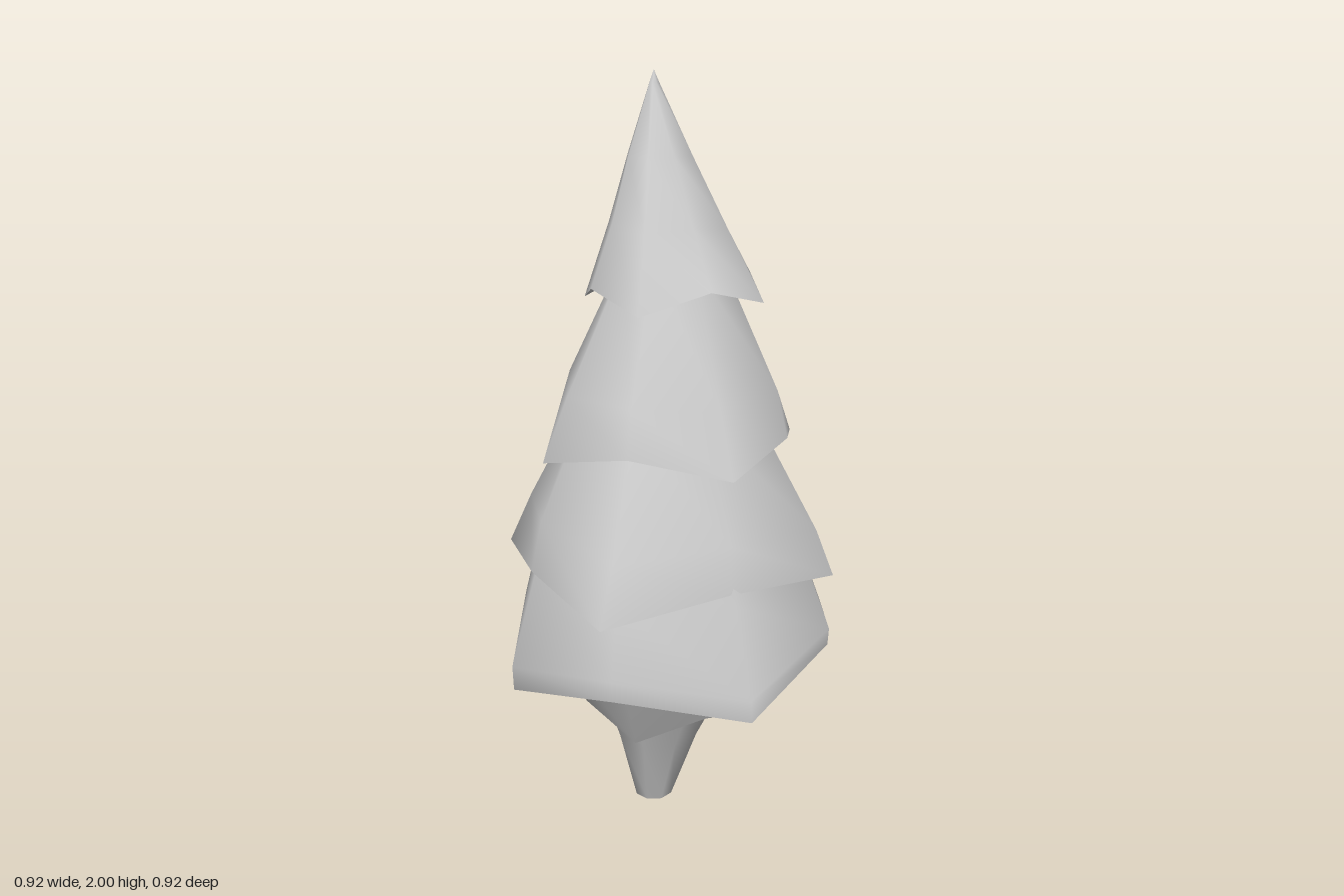
import * as THREE from 'three';

const SIDES = 8;
const material = new THREE.MeshStandardMaterial({ color: 0xcccccc, side: THREE.DoubleSide });

// Octagonal ring: y and radius differ between axis corners (A) and diagonal corners (D);
// cx, cz shift the centre, tx, tz tilt the ring.
function ring(yA, yD, rA, rD, cx = 0, cz = 0, tx = 0, tz = 0) {
  const points = [];
  for (let i = 0; i < SIDES; i++) {
    const a = (i / SIDES) * Math.PI * 2;
    const diagonal = i % 2 === 1;
    const r = diagonal ? rD : rA;
    const x = r * Math.cos(a), z = -r * Math.sin(a);
    points.push(new THREE.Vector3(cx + x, (diagonal ? yD : yA) + tx * x + tz * z, cz + z));
  }
  return points;
}
const level = (y, r, cx, cz) => ring(y, y, r, r, cx, cz);

// Smooth skin through rings ordered from outside top to bottom
function loft(name, rings) {
  const positions = [], index = [];
  for (const points of rings) for (const p of points) positions.push(p.x, p.y, p.z);
  for (let j = 0; j < rings.length - 1; j++) {
    for (let i = 0; i < SIDES; i++) {
      const k = (i + 1) % SIDES;
      const a = j * SIDES + i, d = j * SIDES + k;
      const b = a + SIDES, c = d + SIDES;
      index.push(a, b, c, a, c, d);
    }
  }
  const geometry = new THREE.BufferGeometry();
  geometry.setAttribute('position', new THREE.Float32BufferAttribute(positions, 3));
  geometry.setIndex(index);
  geometry.computeVertexNormals();
  const mesh = new THREE.Mesh(geometry, material);
  mesh.name = name;
  return mesh;
}

export function createModel() {
  const group = new THREE.Group();
  group.name = 'tree';

  // Foliage tiers: the last ring of each is its zigzag hem
  const tiers = [
    ['topTier', [
      level(2, 0.0005, -0.037, -0.018),
      level(1.97, 0.013, -0.035, -0.017),
      level(1.8, 0.085, -0.018, -0.01),
      ring(1.63, 1.64, 0.157, 0.15, 0.005, 0),
      ring(1.443, 1.493, 0.24, 0.22, 0.02, 0.005, 0.04, 0.02)]],
    ['upperTier', [
      level(1.55, 0.13, 0.02, 0.005),
      ring(1.235, 1.225, 0.283, 0.285, 0.02, 0.013),
      ring(1.107, 1.058, 0.311, 0.354, 0.02, 0.013, 0.02, 0.03)]],
    ['middleTier', [
      level(1.17, 0.235, 0.008, 0.008),
      ring(0.87, 0.9, 0.402, 0.36, 0.01, 0),
      ring(0.738, 0.78, 0.46, 0.38, 0, 0, 0.03, -0.035)]],
    ['lowerTier', [
      level(0.87, 0.34, 0.012, 0),
      level(0.75, 0.385, 0.012, 0),
      ring(0.585, 0.525, 0.437, 0.46, 0.018, -0.002, 0.03, -0.02),
      ring(0.535, 0.467, 0.432, 0.46, 0.02, -0.003, 0.04, -0.035)]],
    ['rootTier', [
      level(0.6, 0.37, 0.01, 0),
      ring(0.305, 0.365, 0.243, 0.24, 0.003, -0.005, 0.03, -0.025)]],
  ];

  // Trunk, flaring upwards and open at the foot
  const trunk = [
    level(0.45, 0.205, -0.01, -0.01),
    level(0.36, 0.175, -0.015, -0.012),
    level(0.21, 0.115, -0.028, -0.012),
    level(0, 0.053, -0.043, -0.018)];

  // Each hem folds up inside to the top of the part below
  tiers.forEach(([name, rings], n) => {
    const hem = rings[rings.length - 1];
    const inner = n < tiers.length - 1 ? tiers[n + 1][1][0] : trunk[0];
    group.add(loft(name, rings));
    group.add(loft(name + 'Underside', [hem, inner]));
  });
  group.add(loft('trunk', trunk));
  return group;
}
